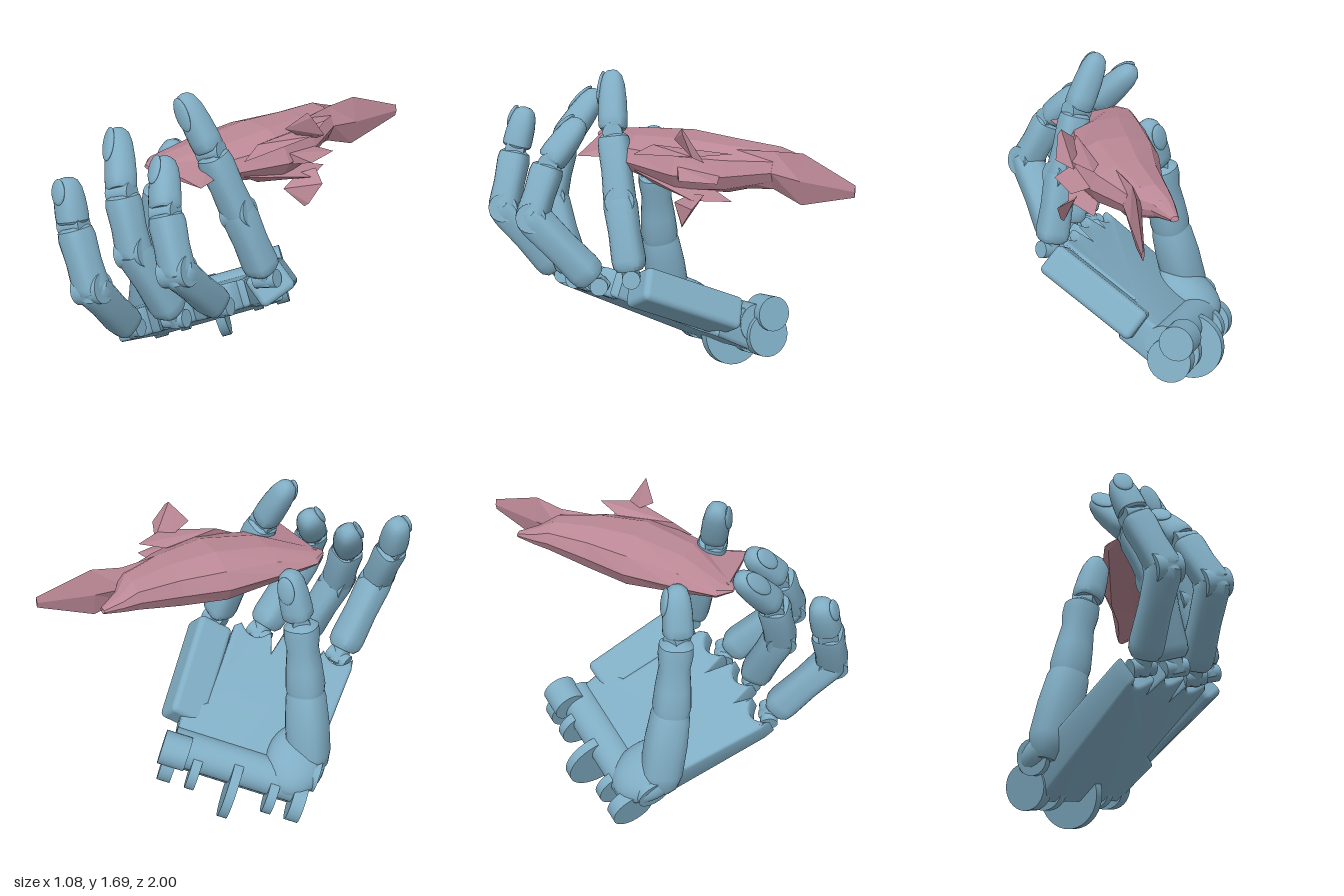
import * as THREE from 'three';
import { toCreasedNormals } from 'three/addons/utils/BufferGeometryUtils.js';
import { ConvexGeometry } from 'three/addons/geometries/ConvexGeometry.js';
import { RoundedBoxGeometry } from 'three/addons/geometries/RoundedBoxGeometry.js';

const V = (p) => new THREE.Vector3(...p);
const blue = new THREE.MeshStandardMaterial({ color: 0x80adc4 });
const pink = new THREE.MeshStandardMaterial({ color: 0xba8795, flatShading: true, side: THREE.DoubleSide });

function mesh(name, geo, mat = blue) {
  const m = new THREE.Mesh(geo, mat);
  m.name = name;
  return m;
}

// Rounded-square limb from a to b; profile rows are [radius, fraction of length].
function limb(name, a, b, profile, dorsal, square = 0.75) {
  const from = V(a), dir = V(b).sub(from), len = dir.length();
  const pts = profile.map(([r, t]) => new THREE.Vector2(r, t * len));
  const geo = new THREE.LatheGeometry(pts, 24);
  const pos = geo.attributes.position;
  for (let i = 0; i < pos.count; i++) {
    const x = pos.getX(i), z = pos.getZ(i), r = Math.hypot(x, z);
    if (r < 1e-6) continue;
    const k = 1 / Math.pow((x / r) ** 4 + (z / r) ** 4, 0.25);
    const s = 1 + (k - 1) * square;
    pos.setX(i, x * s);
    pos.setZ(i, z * s);
  }
  const m = mesh(name, toCreasedNormals(geo, 0.65));
  const y = dir.normalize();
  const x = new THREE.Vector3().crossVectors(y, V(dorsal)).normalize();
  const z = new THREE.Vector3().crossVectors(x, y);
  m.applyMatrix4(new THREE.Matrix4().makeBasis(x, y, z).setPosition(from));
  return m;
}

// Pin across a joint.
function hinge(p, axis, r, w) {
  const m = mesh('hingePin', new THREE.CylinderGeometry(r, r, w, 20));
  m.quaternion.setFromUnitVectors(new THREE.Vector3(0, 1, 0), V(axis).normalize());
  m.position.set(...p);
  return m;
}

function nail(tip, r, len) {
  const n = mesh('nail', new THREE.SphereGeometry(1, 20, 12));
  n.scale.set(r * 0.62, len * 0.27, r * 0.22);
  n.position.set(0, len * 0.68, r * 0.83);
  n.rotation.x = -0.16;
  tip.add(n);
}

const shaft = [[0, 0], [0.72, 0], [0.95, 0.06], [1, 0.15], [0.94, 0.5], [1, 0.85], [0.92, 0.96], [0.7, 1], [0, 1]];
const cap = [[0, 0], [0.85, 0], [0.98, 0.05], [1, 0.2], [0.95, 0.5], [0.84, 0.75], [0.64, 0.91], [0.35, 0.98], [0, 1]];
const scaled = (profile, r) => profile.map(([p, t]) => [p * r, t]);
const lerp = (a, b, t) => V(a).lerp(V(b), t).toArray();

// Finger through knuckle, elbow, upper joint and tip.
function finger(name, [base, elbow, joint, tip], r, across) {
  const g = new THREE.Group();
  g.name = name;
  const back = [0.15, -0.1, 1];
  g.add(limb('proximalSegment', lerp(base, elbow, 0.1), lerp(base, elbow, 1.08), scaled(shaft, r), back));
  g.add(limb('middleSegment', lerp(elbow, joint, -0.12), lerp(elbow, joint, 0.97), scaled(shaft, r * 0.95), back));
  const end = limb('fingertip', lerp(joint, tip, 0.04), tip, scaled(cap, r * 0.88), back, 0.45);
  nail(end, r * 0.88, V(joint).distanceTo(V(tip)));
  g.add(end, hinge(base, across, 0.045, r * 1.5), hinge(elbow, across, r * 0.9, r * 1.7));
  g.add(hinge(joint, across, r * 0.6, r * 1.5));
  g.add(limb('knuckleTab', lerp(base, elbow, -0.08), lerp(base, elbow, 0.2), scaled(shaft, r * 0.55), back));
  return g;
}

// Palm in its own frame: x across the knuckles, y towards the fingers, z out of the back of the hand.
function palm(across, along) {
  const g = new THREE.Group();
  g.name = 'palm';
  const s = new THREE.Shape();
  s.moveTo(-0.37, 0.02);
  s.lineTo(0.33, 0.02);
  s.lineTo(0.36, 0.3);
  s.lineTo(0.24, 0.36);
  s.lineTo(0.22, 0.84);
  [[0.1, 0.87], [-0.14, 0.9], [-0.37, 0.86]].forEach(([u, v], i) => {
    s.lineTo(u + 0.085, v);
    s.quadraticCurveTo(u, v - 0.12, u - 0.085, v);
    if (i < 2) s.lineTo(u - 0.115, v - 0.12);
  });
  s.lineTo(-0.46, 0.8);
  s.closePath();
  const geo = new THREE.ExtrudeGeometry(s, {
    depth: 0.15, bevelThickness: 0.025, bevelSize: 0.02, bevelOffset: -0.02, bevelSegments: 3, curveSegments: 8,
  });
  const pos = geo.attributes.position;
  for (let i = 0; i < pos.count; i++) {
    const t = pos.getY(i) / 0.85;
    pos.setZ(i, (pos.getZ(i) - 0.08) * (1 - 0.3 * t) - 0.025 * t);
  }
  g.add(mesh('palmSlab', toCreasedNormals(geo, 0.6)));

  // Hinged block under the outer finger
  const block = mesh('outerBlock', new RoundedBoxGeometry(0.2, 0.58, 0.17, 3, 0.03));
  block.position.set(0.34, 0.53, -0.04);
  block.rotation.y = 0.35;
  g.add(block);

  // Wrist bar and hinge lobes
  const disc = (name, u, v, d, r, w) => {
    const m = mesh(name, new THREE.CylinderGeometry(r, r, w, 32));
    m.rotation.z = Math.PI / 2;
    m.position.set(u, v, d);
    g.add(m);
  };
  disc('wristBar', 0, 0.09, -0.05, 0.1, 0.7);
  disc('largeWristLobe', -0.01, 0.0, 0.02, 0.175, 0.05);
  [[-0.36, 0.07], [-0.22, 0.05], [0.2, 0.05], [0.34, 0.07]].forEach(([u, w]) => {
    disc('wristLobe', u, 0.02, -0.01, 0.115, w);
  });
  disc('outerWristKnuckle', 0.33, 0.04, -0.12, 0.09, 0.14);

  // Swell of the palm below the thumb
  const swell = mesh('thumbMount', new THREE.SphereGeometry(1, 28, 18));
  swell.scale.set(0.16, 0.2, 0.11);
  swell.position.set(-0.29, 0.2, -0.09);
  g.add(swell);

  const back = new THREE.Vector3().crossVectors(across, along).normalize();
  const up = new THREE.Vector3().crossVectors(back, across);
  g.applyMatrix4(new THREE.Matrix4().makeBasis(across, up, back).setPosition(-0.22, 0.2, -0.24));
  return g;
}

// Faceted skin over rows of [z, xMin, xMax, yMin, yMax].
function loft(name, rows, sides) {
  const p = [], idx = [];
  rows.forEach(([z, x0, x1, y0, y1], i) => {
    for (let j = 0; j < sides; j++) {
      const a = (j / sides) * Math.PI * 2;
      p.push((x0 + x1) / 2 + (Math.cos(a) * (x1 - x0)) / 2, (y0 + y1) / 2 + (Math.sin(a) * (y1 - y0)) / 2, z);
      if (i === rows.length - 1) continue;
      const k = i * sides + j, n = i * sides + ((j + 1) % sides);
      idx.push(k, k + sides, n, n, k + sides, n + sides);
    }
  });
  const geo = new THREE.BufferGeometry();
  geo.setAttribute('position', new THREE.Float32BufferAttribute(p, 3));
  geo.setIndex(idx);
  geo.computeVertexNormals();
  return mesh(name, geo, pink);
}

// Faceted sea creature lying on its side
function creature() {
  const g = new THREE.Group();
  g.name = 'seaCreature';
  g.add(loft('body', [
    [0.43, -0.02, 0.02, 1.29, 1.31], [0.36, -0.08, 0.12, 1.26, 1.33], [0.15, -0.08, 0.33, 1.2, 1.39],
    [-0.13, -0.06, 0.41, 1.15, 1.43], [-0.36, 0.0, 0.36, 1.17, 1.42], [-0.58, 0.03, 0.27, 1.23, 1.4],
    [-0.66, 0.04, 0.16, 1.26, 1.36], [-0.76, 0.06, 0.1, 1.29, 1.32],
  ], 10));
  g.add(loft('tail', [
    [-0.35, 0.16, 0.34, 1.2, 1.4], [-0.58, 0.18, 0.27, 1.22, 1.41],
    [-0.73, 0.225, 0.285, 1.17, 1.43], [-1, 0.305, 0.32, 1.27, 1.33],
  ], 4));
  const fin = (name, pts) => g.add(mesh(name, new ConvexGeometry(pts.map(V)), pink));
  fin('lowerJaw', [[0.0, 1.27, 0.4], [0.0, 1.32, 0.4], [0.1, 1.25, 0.2], [0.2, 1.35, 0.2], [0.3, 1.3, 0.2], [0.35, 1.3, 0.39]]);
  for (const side of [1, -1]) {
    const y = (d) => 1.3 + side * d;
    fin('flipper', [[0.38, y(0.1), -0.22], [0.42, y(0.08), -0.3], [0.37, y(0.16), -0.13],
      [0.5, y(0.13), -0.27], [0.45, y(0.25), -0.2], [0.47, y(0.23), -0.21]]);
    fin('sideRidge', [[0.33, y(0.04), 0.1], [0.32, y(0.1), 0.0], [0.36, y(0.12), -0.42], [0.44, y(0.11), -0.25], [0.3, y(0.09), -0.3]]);
  }
  fin('bellyFin', [[0.38, 1.33, -0.15], [0.38, 1.27, -0.15], [0.49, 1.3, -0.2], [0.46, 1.3, -0.38], [0.34, 1.3, -0.35]]);
  return g;
}

export function createModel() {
  const model = new THREE.Group();
  model.name = 'handHoldingSeaCreature';
  const across = new THREE.Vector3(0.597, 0.28, -0.752).normalize();
  const along = new THREE.Vector3(0.586, 0.447, 0.676);
  model.add(palm(across, along));

  const pin = [0.9, 0.3, -0.35];
  model.add(
    finger('indexFinger', [[0.08, 0.51, 0.62], [0.165, 0.88, 0.91], [0.03, 1.16, 0.9], [-0.05, 1.37, 0.87]], 0.083, pin),
    finger('middleFinger', [[0.25, 0.58, 0.47], [0.15, 0.97, 0.64], [0.04, 1.24, 0.62], [-0.14, 1.48, 0.49]], 0.083, pin),
    finger('ringFinger', [[0.36, 0.62, 0.28], [0.43, 0.97, 0.61], [0.3, 1.22, 0.57], [0.16, 1.42, 0.45]], 0.083, pin),
    finger('littleFinger', [[0.46, 0.74, 0.06], [0.36, 1.1, 0.16], [0.25, 1.41, 0.24], [0.11, 1.68, 0.3]], 0.08, pin),
  );

  // Thumb with a long flared lower segment
  const thumb = new THREE.Group();
  thumb.name = 'thumb';
  const out = [-0.5, 0, -0.8];
  thumb.add(limb('thumbShaft', [-0.35, 0.2, 0.17], [-0.24, 0.68, 0.2],
    [[0, 0], [0.06, 0.01], [0.095, 0.1], [0.11, 0.25], [0.11, 0.6], [0.1, 0.9], [0.085, 1], [0, 1.03]], out, 0.4));
  thumb.add(limb('thumbMiddle', [-0.25, 0.63, 0.2], [-0.18, 1.06, 0.2],
    [[0, 0], [0.09, 0.03], [0.098, 0.15], [0.09, 0.4], [0.078, 0.65], [0.088, 0.82], [0.085, 0.94], [0.05, 1], [0, 1]], out, 0.4));
  const tip = limb('thumbTip', [-0.16, 1.07, 0.2], [-0.1, 1.33, 0.17], scaled(cap, 0.077), out, 0.45);
  nail(tip, 0.077, 0.27);
  thumb.add(tip, hinge([-0.17, 1.06, 0.2], [1, 0, 0.4], 0.045, 0.11), hinge([-0.36, 0.25, 0.1], [0.6, 0.28, -0.75], 0.09, 0.2));
  model.add(thumb, creature());
  return model;
}
